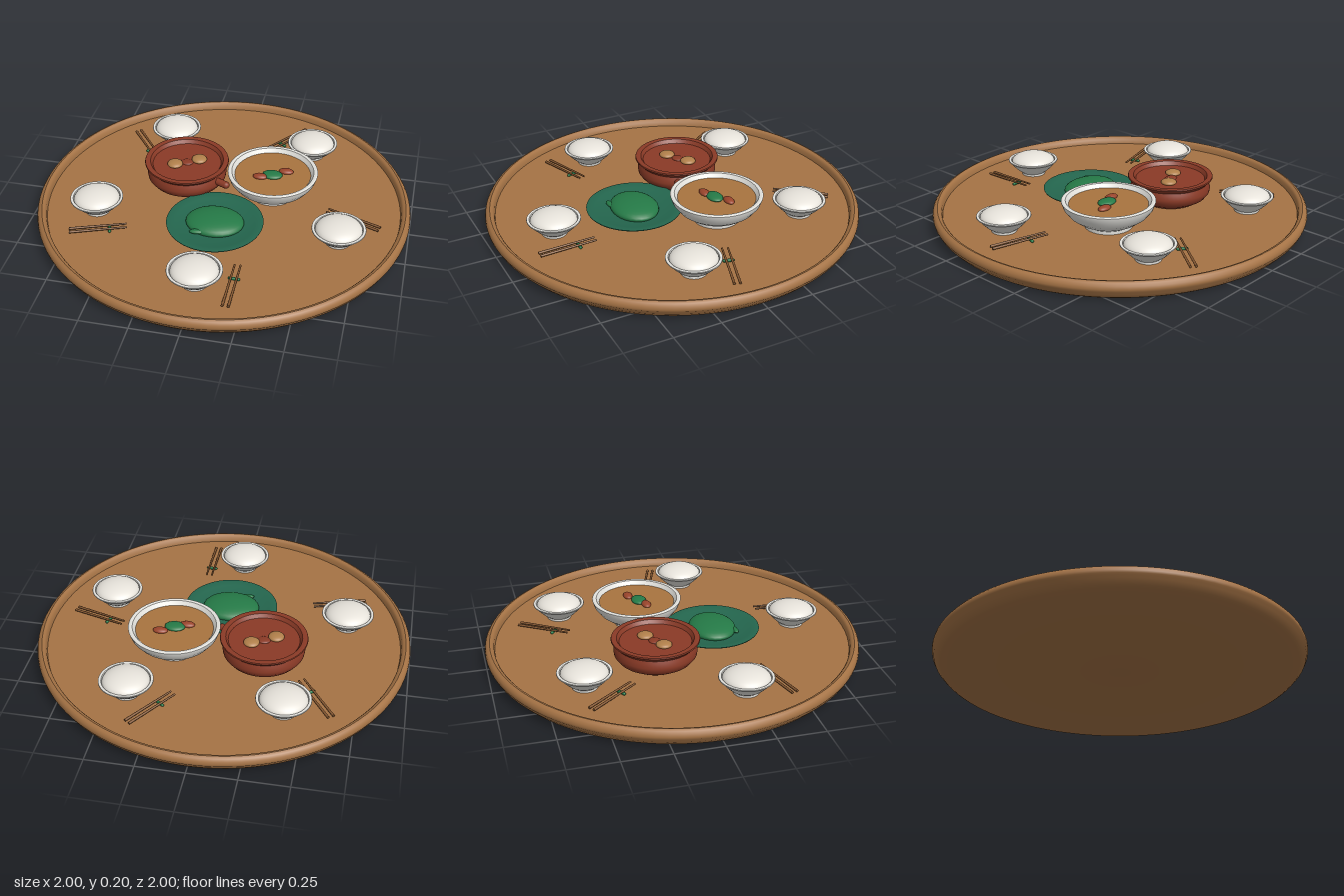
import * as THREE from 'three';
import { toCreasedNormals } from 'three/addons/utils/BufferGeometryUtils.js';

const TOP = 0.06; // height of the sunken table surface

function material(name, color) {
  const m = new THREE.MeshStandardMaterial({ color });
  m.name = name;
  return m;
}

export function createModel() {
  const model = new THREE.Group();
  model.name = 'diningTable';

  const wood = material('wood', 0xa57345);
  const darkWood = material('dark wood', 0x855731);
  const porcelain = material('porcelain', 0xe2e1dc);
  const riceWhite = material('rice white', 0xe8e4dc);
  const clay = material('red clay', 0x8a3a26);
  const plateGreen = material('plate green', 0x24664e);
  const leafGreen = material('leaf green', 0x257a47);
  const broth = material('broth', 0xa9743f);
  const meat = material('meat red', 0x99442b);
  const dumpling = material('dumpling tan', 0xb07f4a);

  function add(parent, name, geometry, mat, x = 0, y = 0, z = 0) {
    const mesh = new THREE.Mesh(geometry, mat);
    mesh.name = name;
    mesh.position.set(x, y, z);
    parent.add(mesh);
    return mesh;
  }

  // Turned part from [radius, height] pairs, bottom to top along the outside
  function turned(parent, name, profile, mat, segments = 48) {
    const points = profile.map(([r, y]) => new THREE.Vector2(r, y));
    return add(parent, name, toCreasedNormals(new THREE.LatheGeometry(points, segments), 0.6), mat);
  }

  function ellipsoid(parent, name, mat, [x, y, z], [rx, ry, rz], turn = 0) {
    const mesh = add(parent, name, new THREE.SphereGeometry(1, 28, 16), mat, x, y, z);
    mesh.scale.set(rx, ry, rz);
    mesh.rotation.y = turn;
    return mesh;
  }

  function group(name, x, z, parent = model) {
    const g = new THREE.Group();
    g.name = name;
    g.position.set(x, TOP, z);
    parent.add(g);
    return g;
  }

  // Table top with bevelled underside and a rounded raised lip
  turned(model, 'tableTop', [
    [0, 0], [0.95, 0], [0.965, 0.01], [0.988, 0.035], [0.992, 0.048],
    [0.998, 0.055], [1, 0.067], [0.997, 0.082], [0.988, 0.094], [0.974, 0.1],
    [0.961, 0.096], [0.952, 0.085], [0.948, TOP], [0, TOP],
  ], wood, 96);

  // Five place settings around the table
  for (let i = 0; i < 5; i++) {
    const setting = new THREE.Group();
    setting.name = 'placeSetting';
    setting.rotation.y = (i * Math.PI * 2) / 5;
    model.add(setting);

    const bowl = group('riceBowl', 0, 0.68, setting);
    turned(bowl, 'bowl', [
      [0, 0], [0.066, 0], [0.066, 0.012], [0.09, 0.03], [0.115, 0.055], [0.132, 0.078],
      [0.14, 0.081], [0.139, 0.086], [0.125, 0.086], [0.12, 0.07], [0, 0.06],
    ], porcelain);
    add(bowl, 'rice', new THREE.SphereGeometry(1, 32, 10, 0, Math.PI * 2, 0, Math.PI / 2),
      riceWhite, 0, 0.075, 0).scale.set(0.122, 0.05, 0.122);

    // Chopsticks lying across a small rest
    const cutlery = group('chopsticks', 0.185, 0.68, setting);
    for (const side of [-1, 1]) {
      const stick = add(cutlery, 'chopstick', new THREE.CylinderGeometry(0.005, 0.007, 0.3, 8),
        darkWood, side * 0.015, 0.018, 0);
      stick.rotation.x = -Math.PI / 2 + 0.03;
    }
    const rest = add(cutlery, 'chopstickRest', new THREE.CapsuleGeometry(0.008, 0.045, 4, 10),
      leafGreen, 0, 0.008, -0.06);
    rest.rotation.z = Math.PI / 2;
  }

  // Large soup bowl with garnish
  const soup = group('soupBowl', 0.24, -0.14);
  turned(soup, 'bowl', [
    [0, 0], [0.125, 0], [0.125, 0.018], [0.165, 0.04], [0.205, 0.07], [0.232, 0.105],
    [0.243, 0.135], [0.244, 0.141], [0.236, 0.145], [0.222, 0.143], [0.205, 0.118], [0, 0.1],
  ], porcelain, 64);
  add(soup, 'broth', new THREE.CylinderGeometry(0.206, 0.2, 0.012, 56), broth, 0, 0.116, 0);
  ellipsoid(soup, 'greenGarnish', leafGreen, [0, 0.126, 0.012], [0.055, 0.016, 0.04]);
  ellipsoid(soup, 'redGarnish', meat, [0.068, 0.126, -0.035], [0.04, 0.015, 0.025]);
  ellipsoid(soup, 'redGarnish', meat, [-0.062, 0.126, 0.04], [0.04, 0.015, 0.025]);

  // Clay pot with dumplings
  const pot = group('clayPot', -0.24, -0.15);
  turned(pot, 'pot', [
    [0, 0], [0.145, 0], [0.16, 0.008], [0.195, 0.03], [0.214, 0.055], [0.217, 0.075],
    [0.211, 0.098], [0.206, 0.112], [0.222, 0.128], [0.23, 0.136], [0.228, 0.143],
    [0.218, 0.145], [0.2, 0.142], [0.187, 0.122], [0, 0.122],
  ], clay, 64);
  ellipsoid(pot, 'dumpling', dumpling, [-0.06, 0.127, 0.03], [0.042, 0.017, 0.042]);
  ellipsoid(pot, 'dumpling', dumpling, [0.06, 0.127, -0.04], [0.042, 0.017, 0.042]);
  ellipsoid(pot, 'filling', clay, [0, 0.122, -0.005], [0.035, 0.01, 0.03]);
  const handle = add(pot, 'potHandle', new THREE.CapsuleGeometry(0.02, 0.06, 4, 12), clay, 0.215, 0.085, 0.1);
  handle.rotation.set(0, -0.42, Math.PI / 2);

  // Shallow plate with a mound of greens
  const plate = group('greensPlate', 0, 0.225);
  turned(plate, 'plate', [
    [0, 0], [0.15, 0], [0.16, 0.01], [0.22, 0.022], [0.253, 0.034], [0.255, 0.039],
    [0.249, 0.041], [0.21, 0.033], [0.16, 0.024], [0, 0.022],
  ], plateGreen, 64);
  ellipsoid(plate, 'greens', leafGreen, [0, 0.035, 0], [0.155, 0.042, 0.125]);
  ellipsoid(plate, 'leaf', leafGreen, [-0.07, 0.038, 0.105], [0.042, 0.012, 0.018], 0.15);

  return model;
}
